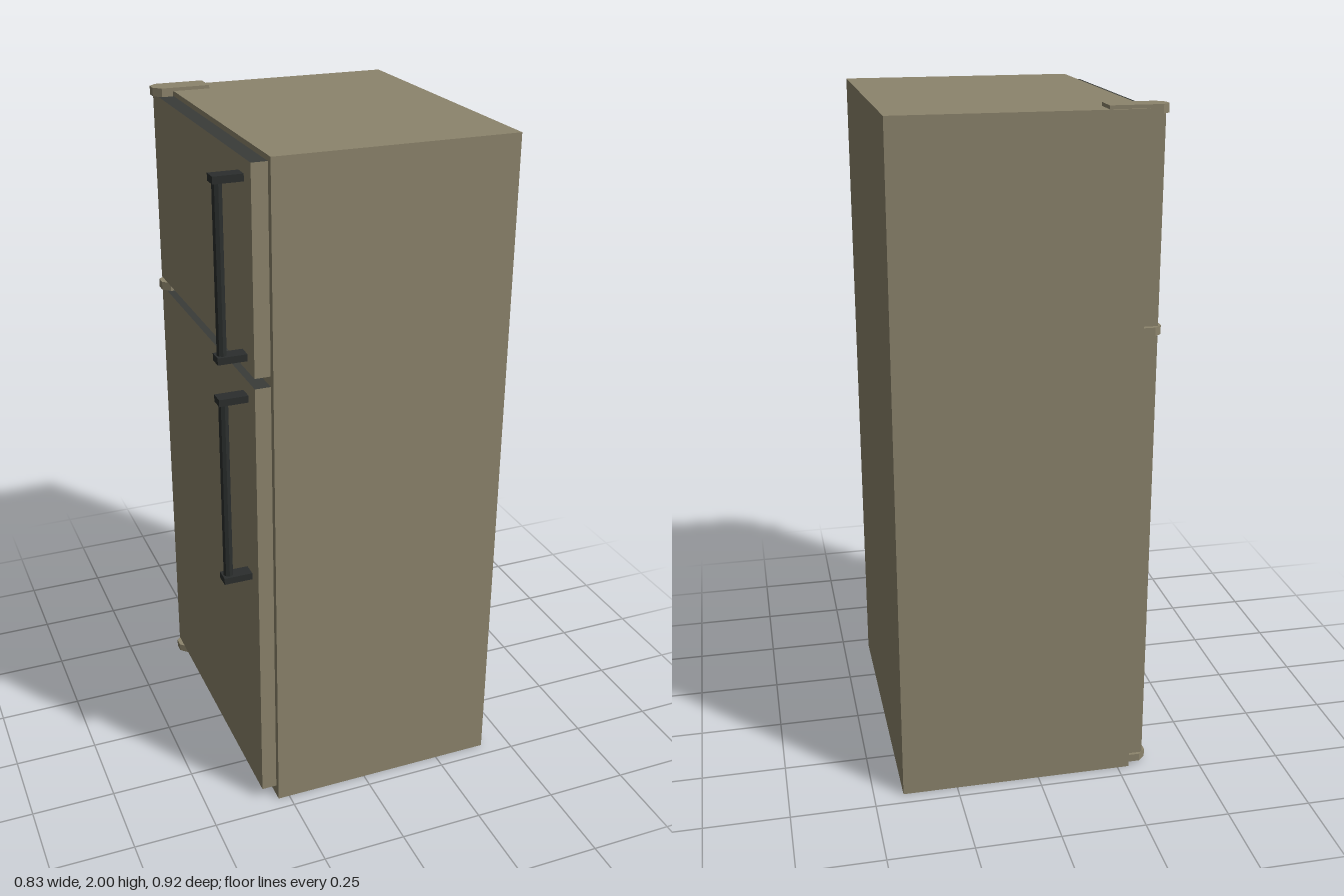
import * as THREE from 'three';

export function createModel() {
  const model = new THREE.Group();
  const beige = new THREE.MeshStandardMaterial({ color: 0x8c846c });
  const dark = new THREE.MeshStandardMaterial({ color: 0x3a3c38 });
  const black = new THREE.MeshStandardMaterial({ color: 0x2b2e2d, flatShading: true });

  const add = (name, geometry, material, parent = model) => {
    const mesh = new THREE.Mesh(geometry, material);
    mesh.name = name;
    parent.add(mesh);
    return mesh;
  };
  // Box given by its extents on each axis
  const box = (name, [x0, x1], [y0, y1], [z0, z1], material, parent) => {
    const mesh = add(name, new THREE.BoxGeometry(x1 - x0, y1 - y0, z1 - z0), material, parent);
    mesh.position.set((x0 + x1) / 2, (y0 + y1) / 2, (z0 + z1) / 2);
    return mesh;
  };

  // Cabinet; the doors are on its -x side
  box('cabinet', [-0.285, 0.413], [0, 1.99], [-0.458, 0.458], beige);

  // Doors with dark top and bottom edges
  const doorMaterials = [beige, beige, dark, dark, beige, beige];
  const door = (name, y) => box(name, [-0.33, -0.285], y, [-0.442, 0.438], doorMaterials);
  door('freezerDoor', [1.4, 1.975]);
  door('fridgeDoor', [0.035, 1.37]);

  // Handles: upright bar between two brackets
  const handle = (name, y0, y1) => {
    const group = new THREE.Group();
    group.name = name;
    for (const y of [y0, y1 - 0.02])
      box('handleBracket', [-0.413, -0.33], [y, y + 0.02], [0.343, 0.385], black, group);
    const bar = add('handleBar', new THREE.CylinderGeometry(0.014, 0.014, y1 - y0 - 0.03, 8), black, group);
    bar.position.set(-0.395, (y0 + y1) / 2, 0.364);
    model.add(group);
  };
  handle('freezerHandle', 1.43, 1.935);
  handle('fridgeHandle', 0.755, 1.33);

  // Hinge plates with a chamfered outer end
  const hinge = (name, xEnd, y0, y1) => {
    const shape = new THREE.Shape([
      [xEnd, -0.375], [-0.321, -0.375], [-0.343, -0.397],
      [-0.343, -0.428], [-0.321, -0.45], [xEnd, -0.45],
    ].map(([x, z]) => new THREE.Vector2(x, -z)));
    const geometry = new THREE.ExtrudeGeometry(shape, { depth: y1 - y0, bevelEnabled: false });
    geometry.rotateX(-Math.PI / 2);
    add(name, geometry, beige).position.y = y0;
  };
  hinge('topHinge', -0.175, 1.988, 2);
  hinge('topHingeFoot', -0.287, 1.975, 1.99);
  hinge('middleHinge', -0.285, 1.372, 1.398);
  hinge('bottomHinge', -0.285, 0.01, 0.034);

  return model;
}
